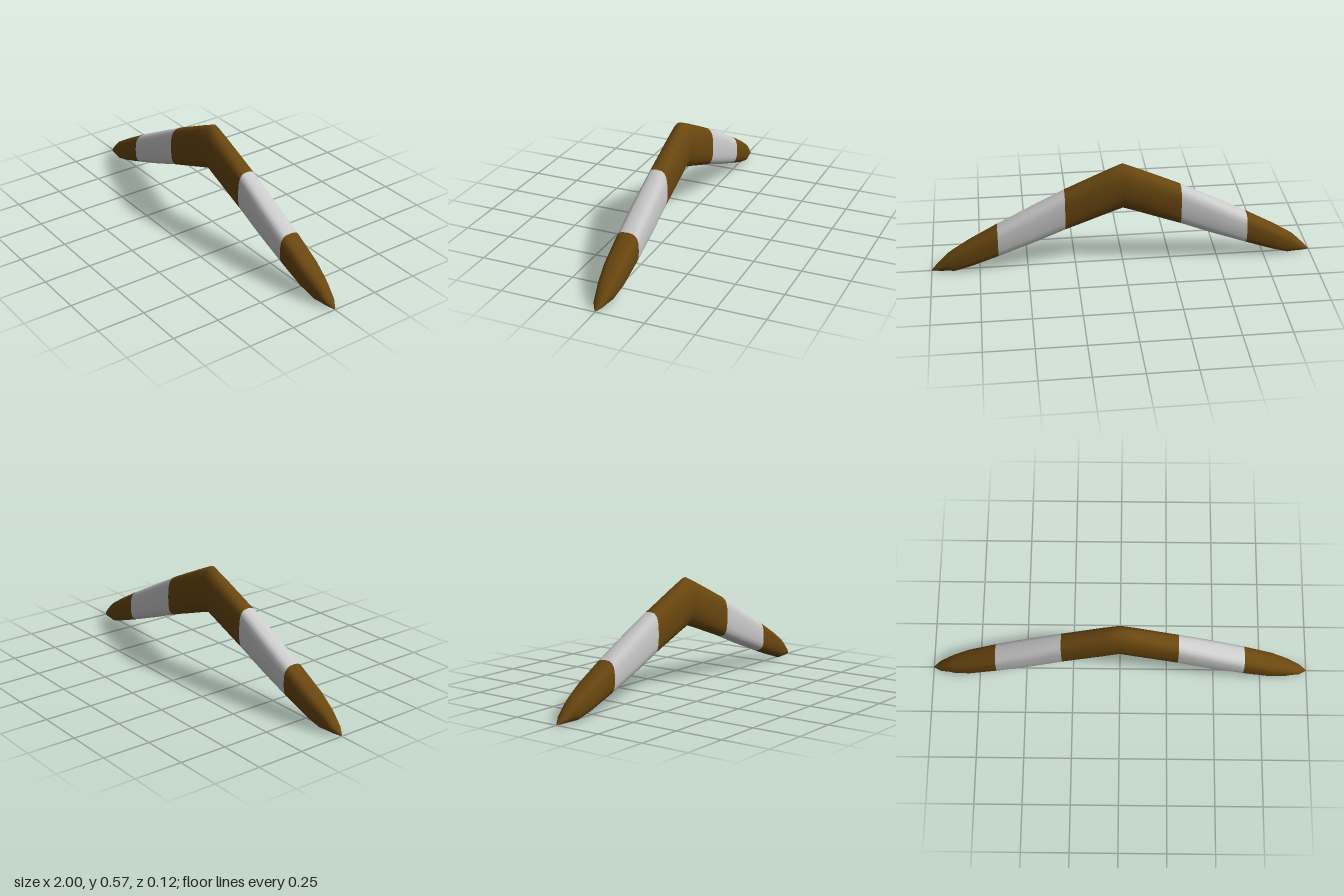
import * as THREE from 'three';

// Half-profile stations: x, top y, bottom y, half thickness, section squareness
const HALF = [
  [0, 0.57, 0.32, 0.06, 2],
  [0.08, 0.534, 0.293, 0.06, 2.2],
  [0.18, 0.487, 0.257, 0.058, 2.5],
  [0.3, 0.43, 0.215, 0.056, 3],
  [0.47, 0.342, 0.147, 0.061, 3],
  [0.65, 0.247, 0.08, 0.061, 3],
  [0.8, 0.163, 0.026, 0.058, 2.8],
  [0.88, 0.115, 0.0, 0.046, 2.6],
  [0.91, 0.096, 0.0, 0.038, 2.4],
  [0.96, 0.046, 0.001, 0.028, 2],
  [1.0, 0.005, 0.002, 0.003, 2],
];
const SIDES = 20;

// Lofted body, whose smooth vertices all the colour bands share
function buildBody(stations) {
  const positions = [];
  for (const [x, top, bottom, half, power] of stations) {
    for (let j = 0; j < SIDES; j++) {
      const a = (j / SIDES) * Math.PI * 2;
      const round = (v) => Math.sign(v) * Math.pow(Math.abs(v), 2 / power);
      positions.push(x, (top + bottom) / 2 + ((top - bottom) / 2) * round(Math.sin(a)), half * round(Math.cos(a)));
    }
  }
  const body = new THREE.BufferGeometry();
  body.setAttribute('position', new THREE.Float32BufferAttribute(positions, 3));
  body.setIndex(bandIndex(0, stations.length - 1, stations.length));
  body.computeVertexNormals();
  return body;
}

// Faces between two stations, with caps at the tips
function bandIndex(from, to, count) {
  const index = [];
  for (let i = from; i < to; i++) {
    for (let j = 0; j < SIDES; j++) {
      const k = (j + 1) % SIDES;
      const a = i * SIDES + j, b = a + SIDES, c = (i + 1) * SIDES + k, d = i * SIDES + k;
      index.push(a, b, c, a, c, d);
    }
  }
  for (let j = 1; j < SIDES - 1; j++) {
    if (from === 0) index.push(0, j + 1, j);
    const e = (count - 1) * SIDES;
    if (to === count - 1) index.push(e, e + j, e + j + 1);
  }
  return index;
}

export function createModel() {
  const group = new THREE.Group();
  group.name = 'boomerang';
  const mirrored = HALF.slice(1).reverse().map(([x, ...rest]) => [-x, ...rest]);
  const stations = [...mirrored, ...HALF];
  const body = buildBody(stations);
  const wood = new THREE.MeshStandardMaterial({ color: 0x6a4710 });
  const paint = new THREE.MeshStandardMaterial({ color: 0xcccccc });

  // Colour bands from the right tip to the left tip
  const bands = [
    ['rightTip', 0, 5, wood],
    ['rightStripe', 5, 7, paint],
    ['elbow', 7, 13, wood],
    ['leftStripe', 13, 15, paint],
    ['leftTip', 15, 20, wood],
  ];
  for (const [name, from, to, material] of bands) {
    const geometry = new THREE.BufferGeometry();
    geometry.setAttribute('position', body.getAttribute('position'));
    geometry.setAttribute('normal', body.getAttribute('normal'));
    geometry.setIndex(bandIndex(from, to, stations.length));
    const mesh = new THREE.Mesh(geometry, material);
    mesh.name = name;
    group.add(mesh);
  }
  return group;
}
